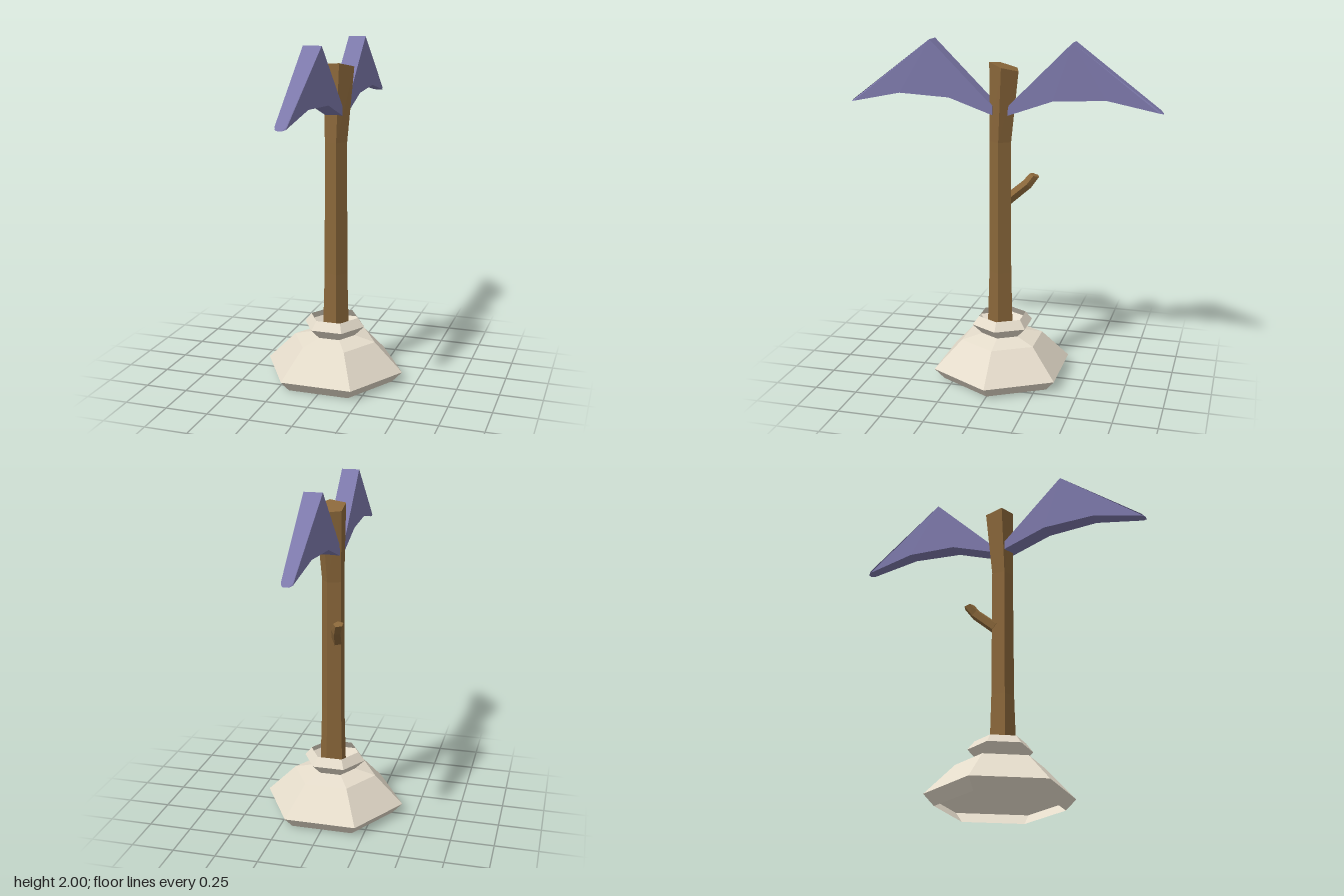
import * as THREE from 'three';

const material = (color, side = THREE.FrontSide) =>
  new THREE.MeshStandardMaterial({ color, flatShading: true, side });

function addMesh(parent, name, geometry, mat) {
  const mesh = new THREE.Mesh(geometry, mat);
  mesh.name = name;
  parent.add(mesh);
  return mesh;
}

// Skin over polygon rings [x, y, z, radius, tilt], listed from bottom to top, capped at both ends
function loft(rings, sides) {
  const corner = ([x, y, z, r, tilt], i) => {
    const a = (i / sides) * Math.PI * 2;
    const s = r * Math.sin(a);
    return [x + r * Math.cos(a), y + s * Math.sin(tilt), z + s * Math.cos(tilt)];
  };
  const pos = [];
  const first = rings[0], last = rings[rings.length - 1];
  for (let i = 0; i < sides; i++) {
    const j = (i + 1) % sides;
    for (let k = 0; k < rings.length - 1; k++) {
      const a = corner(rings[k], i), b = corner(rings[k], j);
      const c = corner(rings[k + 1], i), d = corner(rings[k + 1], j);
      pos.push(...a, ...c, ...b, ...b, ...c, ...d);
    }
    pos.push(...last.slice(0, 3), ...corner(last, j), ...corner(last, i));
    pos.push(...first.slice(0, 3), ...corner(first, i), ...corner(first, j));
  }
  const geo = new THREE.BufferGeometry();
  geo.setAttribute('position', new THREE.Float32BufferAttribute(pos, 3));
  geo.computeVertexNormals();
  return geo;
}

// Angular leaf: outline across z and y, extruded in x and narrowed towards the tip
function leafGeometry() {
  const outline = [
    [0.045, 1.585], [0.3, 1.675], [0.6, 1.69], [0.89, 1.63],
    [0.91, 1.625], [0.89, 1.642], [0.41, 2.0], [0.045, 1.637],
  ].map(([z, y]) => new THREE.Vector2(-z, y));
  const geo = new THREE.ExtrudeGeometry(new THREE.Shape(outline), { depth: 1, bevelEnabled: false });
  geo.translate(0, 0, -0.5);
  geo.rotateY(Math.PI / 2);
  const p = geo.attributes.position;
  for (let i = 0; i < p.count; i++) {
    const z = p.getZ(i);
    let half = 0.052;
    if (z > 0.41) half -= 0.022 * (z - 0.41) / 0.48;
    if (z > 0.9) half = 0.015;
    p.setX(i, Math.sign(p.getX(i)) * half);
  }
  geo.computeVertexNormals();
  return geo;
}

export function createModel() {
  const model = new THREE.Group();
  model.name = 'pottedTree';

  const stone = material(0xe5dccb, THREE.DoubleSide);
  const bark = material(0x8a673a);
  const foliage = material(0x7d79ab);

  // Hollow six-sided pot with a pinched neck and flared collar
  const profile = [
    [0.36, 0], [0.42, 0.065], [0.25, 0.235], [0.125, 0.265], [0.185, 0.325], [0.145, 0.375],
  ].map(([r, y]) => new THREE.Vector2(r, y));
  addMesh(model, 'pot', new THREE.LatheGeometry(profile, 6, Math.PI / 2), stone);

  // Five-sided trunk that leans back and widens at its slanted top
  addMesh(model, 'trunk', loft([
    [0.01, 0.25, 0.005, 0.082, 0],
    [0.01, 0.65, 0.005, 0.07, 0],
    [0.01, 1.43, 0.005, 0.067, 0],
    [0.018, 1.857, -0.02, 0.092, 0.27],
  ], 5), bark);

  // Broken twig on the back of the trunk
  addMesh(model, 'twig', loft([
    [-0.02, 1.075, -0.02, 0.034, 0.87],
    [-0.045, 1.175, -0.138, 0.032, 0.75],
    [-0.065, 1.225, -0.175, 0.031, 0.3],
  ], 5), bark);

  // Two opposite leaves, front and back
  const leaf = leafGeometry();
  ['frontLeaf', 'backLeaf'].forEach((name, i) => {
    const mesh = addMesh(model, name, leaf, foliage);
    mesh.position.x = 0.01;
    mesh.rotation.y = i * Math.PI;
  });

  return model;
}
